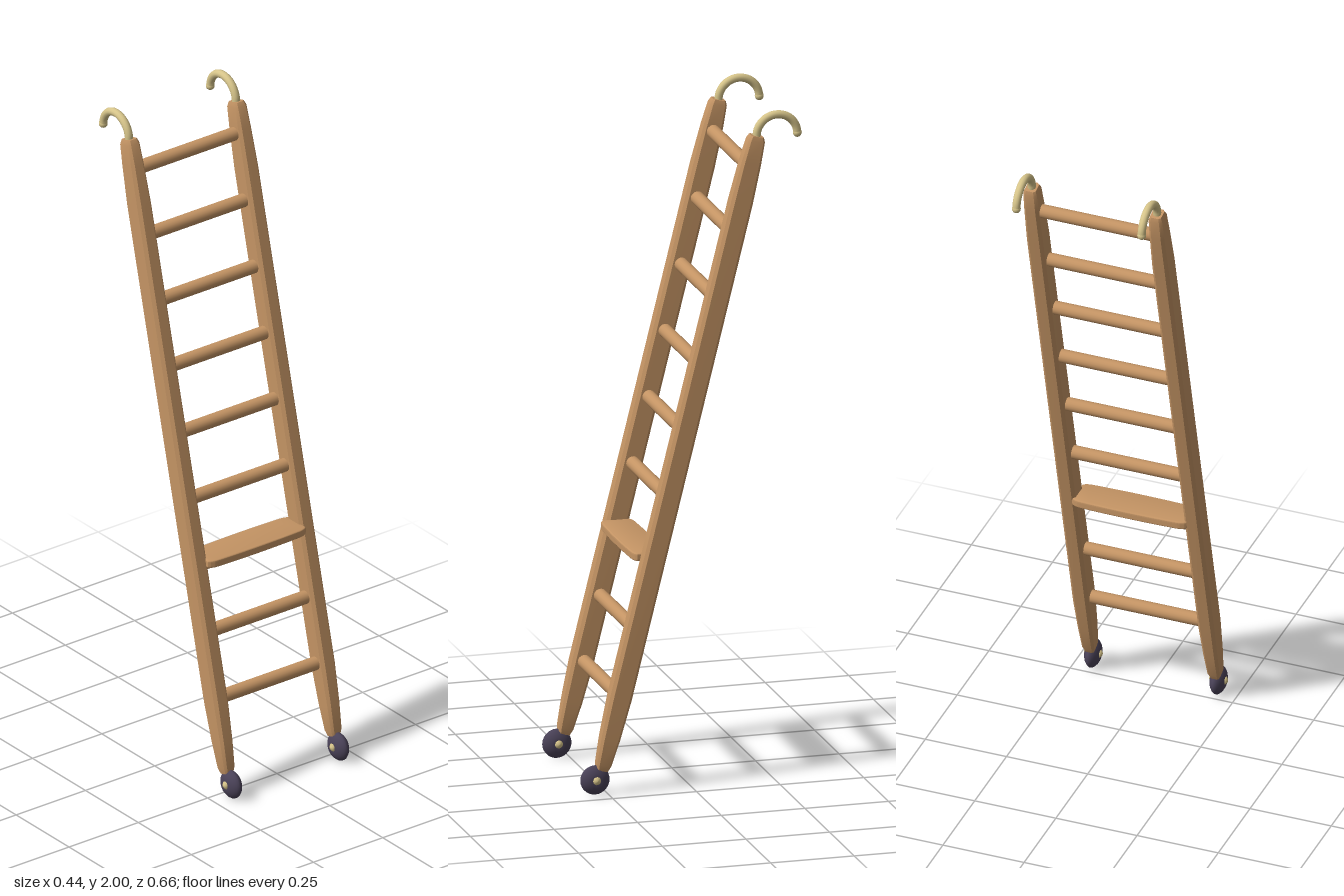
import * as THREE from 'three';
import { toCreasedNormals } from 'three/addons/utils/BufferGeometryUtils.js';

const TILT = -0.244;      // ladder leans back
const RAIL_X = 0.193;

// Chamfered rail lofted along y; each station is [y, width scale, depth scale]
function railGeometry() {
  const w = 0.025, d = 0.033, c = 0.009;
  const section = [[w, -d + c], [w, d - c], [w - c, d], [-w + c, d],
    [-w, d - c], [-w, -d + c], [-w + c, -d], [w - c, -d]];
  const stations = [[-0.958, 0, 0], [-0.958, 0.55, 0.5], [-0.94, 0.75, 0.66], [-0.86, 0.88, 0.86],
    [-0.74, 1, 1], [0.76, 1, 1], [0.88, 0.9, 0.9], [0.945, 0.84, 0.76], [0.958, 0.68, 0.6], [0.958, 0, 0]];
  const pos = [], index = [], n = section.length;
  for (const [y, sx, sz] of stations)
    for (const [x, z] of section) pos.push(x * sx, y, z * sz);
  for (let i = 0; i < stations.length - 1; i++)
    for (let j = 0; j < n; j++) {
      const a = i * n + j, b = i * n + (j + 1) % n;
      index.push(a, a + n, b, b, a + n, b + n);
    }
  const g = new THREE.BufferGeometry();
  g.setAttribute('position', new THREE.Float32BufferAttribute(pos, 3));
  g.setIndex(index);
  return toCreasedNormals(g, 0.5);
}

// Step board outline with gently bowed long edges, laid flat
function stepGeometry() {
  const s = new THREE.Shape();
  s.moveTo(-0.172, -0.036);
  s.quadraticCurveTo(-0.165, -0.044, -0.145, -0.045);
  s.quadraticCurveTo(0, -0.051, 0.145, -0.045);
  s.quadraticCurveTo(0.165, -0.044, 0.172, -0.036);
  s.lineTo(0.172, 0.036);
  s.quadraticCurveTo(0.165, 0.044, 0.145, 0.045);
  s.quadraticCurveTo(0, 0.051, -0.145, 0.045);
  s.quadraticCurveTo(-0.165, 0.044, -0.172, 0.036);
  const g = new THREE.ExtrudeGeometry(s, { depth: 0.012, bevelEnabled: true,
    bevelThickness: 0.006, bevelSize: 0.005, bevelSegments: 3, curveSegments: 10 });
  g.translate(0, 0, -0.006);
  g.rotateX(-Math.PI / 2);
  return toCreasedNormals(g, 0.6);
}

// Lathe whose axis lies along x
function latheX(points, segments) {
  const g = new THREE.LatheGeometry(points.map(([r, y]) => new THREE.Vector2(r, y)), segments);
  return g.rotateZ(Math.PI / 2);
}

export function createModel() {
  const model = new THREE.Group();
  model.name = 'ladder';
  const material = (name, color) => {
    const m = new THREE.MeshStandardMaterial({ color });
    m.name = name;
    return m;
  };
  const wood = material('wood', 0xc49464);
  const brass = material('brass', 0xd6c48a);
  const rubber = material('rubber', 0x4a4258);
  const add = (name, geometry, mat, x, y, z) => {
    const m = new THREE.Mesh(geometry, mat);
    m.name = name;
    m.position.set(x, y, z);
    model.add(m);
    return m;
  };

  // Hook: short straight shank, then an arc over to the back
  const path = [new THREE.Vector3(0, -0.05, 0.073), new THREE.Vector3(0, -0.02, 0.065)];
  for (let i = 0; i <= 12; i++) {
    const a = (i / 12) * Math.PI * 0.99;
    path.push(new THREE.Vector3(0, Math.sin(a) * 0.061, Math.cos(a) * 0.061));
  }
  const hook = new THREE.TubeGeometry(new THREE.CatmullRomCurve3(path), 40, 0.012, 12);
  const hookTip = new THREE.SphereGeometry(0.013, 14, 10);

  const rail = railGeometry();
  const wheel = latheX([[0, -0.021], [0.012, -0.022], [0.022, -0.02], [0.032, -0.015], [0.039, -0.009],
    [0.043, -0.003], [0.043, 0.003], [0.039, 0.009], [0.032, 0.015], [0.022, 0.02], [0.012, 0.022], [0, 0.021]], 28);
  const hub = latheX([[0, -0.028], [0.006, -0.027], [0.013, -0.021],
    [0.013, 0.021], [0.006, 0.027], [0, 0.028]], 14);

  // Rails with their hooks and wheels
  for (const [side, s] of [['left', 1], ['right', -1]]) {
    const x = s * RAIL_X;
    add(side + 'Rail', rail, wood, x, 1.0, 0.0355).rotation.x = TILT;
    add(side + 'Hook', hook, brass, x, 1.927, -0.257);
    add(side + 'HookTip', hookTip, brass, x, 1.929, -0.318);
    add(side + 'Wheel', wheel, rubber, x, 0.043, 0.287);
    add(side + 'WheelHub', hub, brass, x, 0.045, 0.287);
  }

  // Nine evenly spaced rungs
  const rung = new THREE.CylinderGeometry(0.02, 0.02, 0.36, 18).rotateZ(Math.PI / 2);
  for (let i = 0; i < 9; i++)
    add('rung' + (i + 1), rung, wood, 0, 0.288 + i * 0.194, 0.212 - i * 0.0483);

  // Flat step resting on the third rung
  add('step', stepGeometry(), wood, 0, 0.692, 0.117);
  return model;
}
